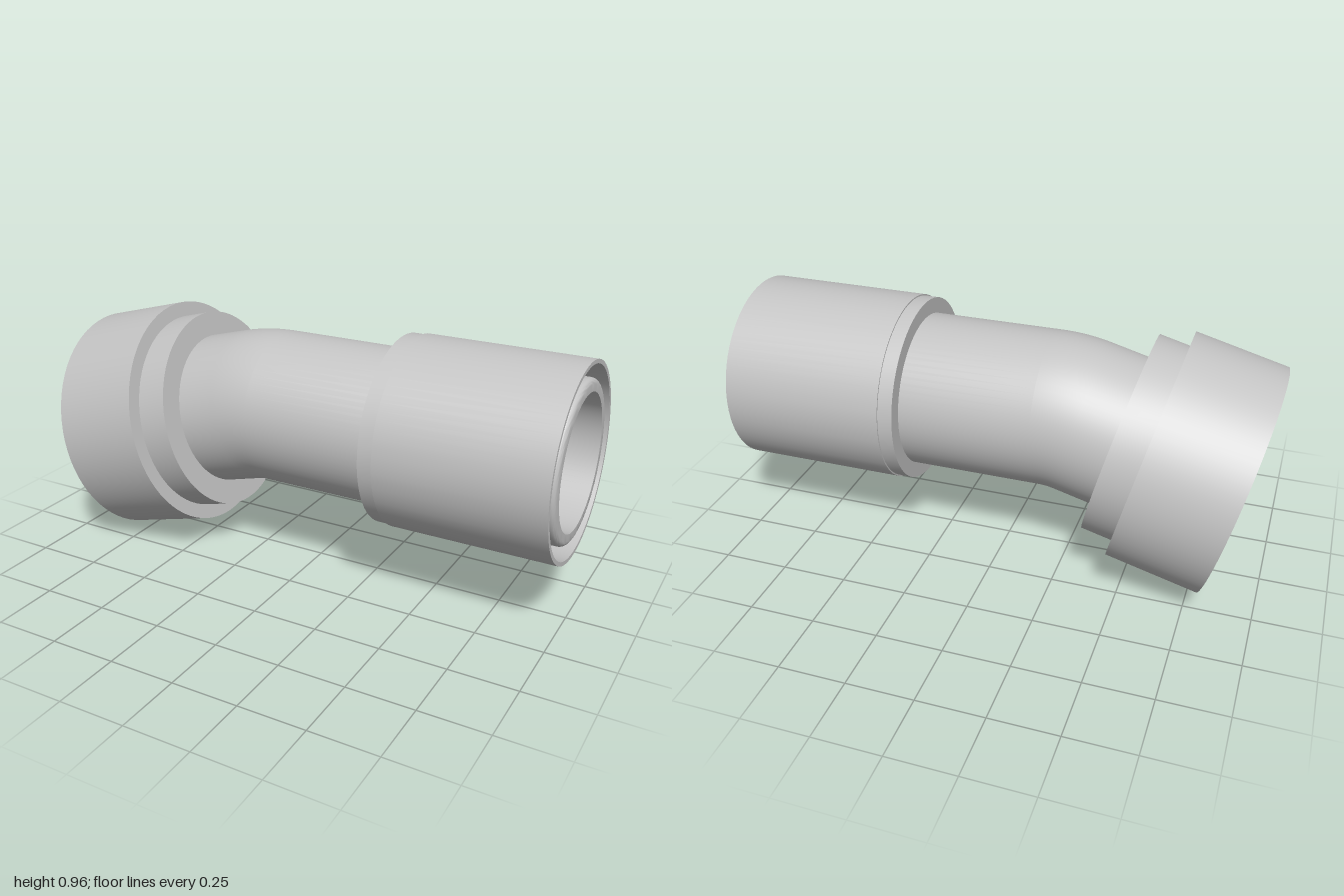
import * as THREE from 'three';
import { toCreasedNormals } from 'three/addons/utils/BufferGeometryUtils.js';

const SEG = 72;
const AXIS_Y = 0.605;            // height of the straight run
const BEND_X = -0.165;           // where the bend begins
const BEND_R = 0.48;             // centreline radius of the bend
const BEND = Math.PI / 12;       // 15 degree elbow

// Closed [radius, distance] profile turned about the x axis
function turned(profile) {
  const pts = profile.map(([r, d]) => new THREE.Vector2(r, d));
  pts.push(pts[0].clone());
  return new THREE.LatheGeometry(pts, SEG).rotateZ(-Math.PI / 2);
}

// Curves a straight pipe (x = distance along it) round the elbow
function bendPipe(geo) {
  const p = geo.attributes.position;
  for (let i = 0; i < p.count; i++) {
    const s = p.getX(i), h = p.getY(i);
    const a = THREE.MathUtils.clamp(-s / BEND_R, 0, BEND);
    const rest = s + a * BEND_R; // straight length left over
    p.setXY(i,
      BEND_X - BEND_R * Math.sin(a) + rest * Math.cos(a) - h * Math.sin(a),
      AXIS_Y - BEND_R * (1 - Math.cos(a)) + rest * Math.sin(a) + h * Math.cos(a));
  }
  return geo;
}

export function createModel() {
  const model = new THREE.Group();
  model.name = 'pipeElbow';
  const grey = new THREE.MeshStandardMaterial({ color: 0xc4c4c4 });
  grey.name = 'lightGrey';

  function add(name, geo) {
    const mesh = new THREE.Mesh(toCreasedNormals(geo, 0.5), grey);
    mesh.name = name;
    model.add(mesh);
    return mesh;
  }

  // Bent pipe: stations along the length, closer together in the bend
  const stations = [-0.298];
  for (let i = 10; i >= 0; i--) stations.push(-BEND_R * BEND * i / 10);
  const end = 1 - BEND_X, round = 0.02;
  const outer = stations.map(s => [0.291, s]);
  for (let i = 0; i <= 5; i++) { // rounded lip
    const a = i / 5 * Math.PI / 2;
    outer.push([0.291 - round + round * Math.cos(a), end - round + round * Math.sin(a)]);
  }
  const inner = [[0.245, end], ...stations.slice().reverse().map(s => [0.245, s])];
  add('bentPipe', bendPipe(turned([...outer, ...inner])));

  // Sleeve around the straight end, with a tapering gap to the pipe
  const sleeve = add('endSleeve', turned([
    [0.28, 0.33], [0.35, 0.33], [0.35, 0.385], [0.355, 0.385], [0.355, 1],
    [0.34, 1], [0.318, 0.42], [0.28, 0.42],
  ]));
  sleeve.position.y = AXIS_Y;

  // Stepped hollow cup on the angled end
  const cup = add('steppedCup', turned([
    [0.427, 0], [0.44, 0], [0.44, 0.352], [0.384, 0.352], [0.384, 0.469],
    [0.28, 0.469], [0.245, 0.445], [0.362, 0.445], [0.362, 0.33], [0.427, 0.33],
  ]));
  cup.position.set(-0.886, 0.427, 0);
  cup.rotation.z = BEND;

  return model;
}
